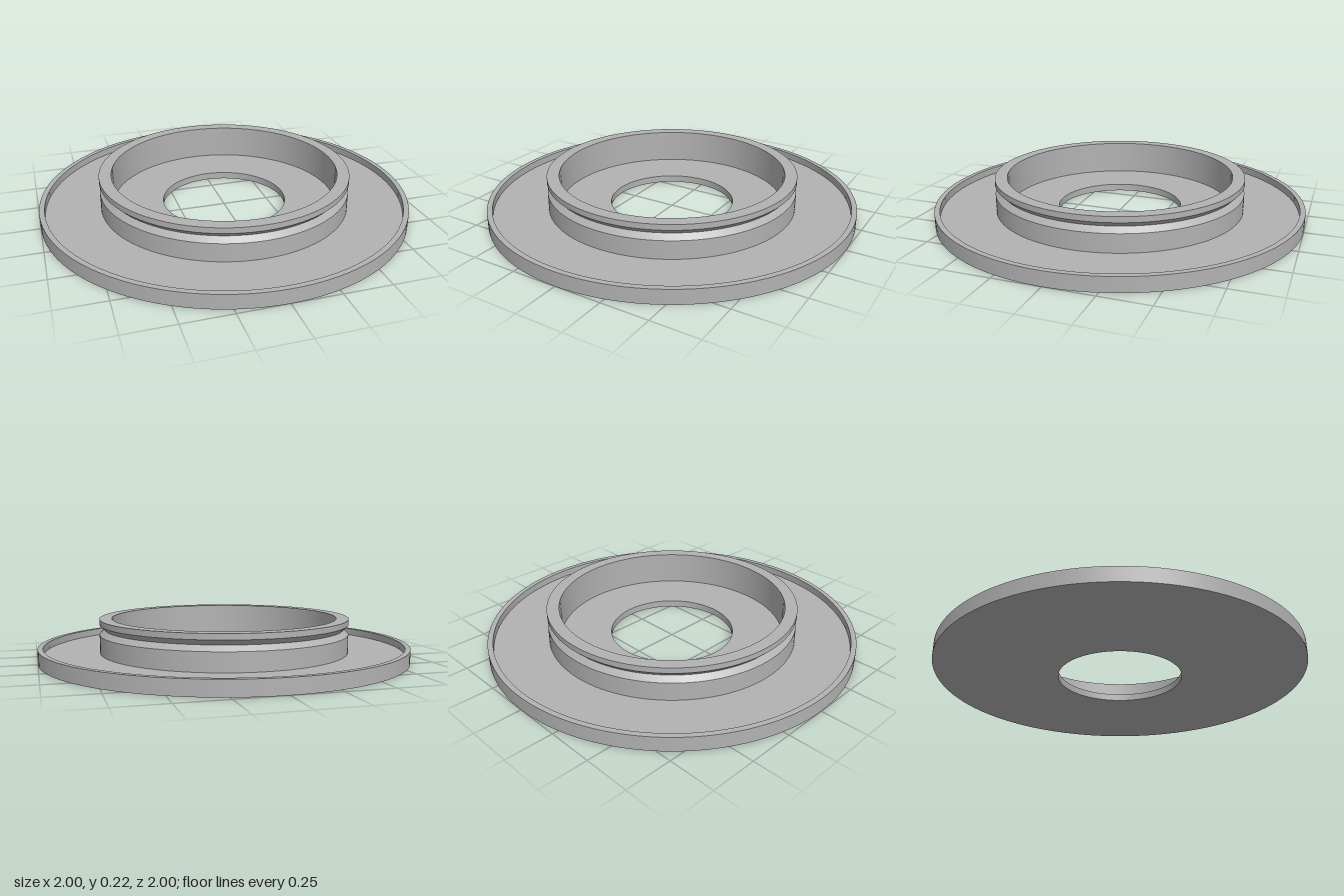
import * as THREE from 'three';
import { toCreasedNormals } from 'three/addons/utils/BufferGeometryUtils.js';

const SEGMENTS = 128;

// Revolve a [radius, height] profile, keeping its corners sharp
function ring(name, profile, material) {
  const points = profile.map(([r, y]) => new THREE.Vector2(r, y));
  const geometry = toCreasedNormals(new THREE.LatheGeometry(points, SEGMENTS), 0.4);
  const mesh = new THREE.Mesh(geometry, material);
  mesh.name = name;
  return mesh;
}

export function createModel() {
  const metal = new THREE.MeshStandardMaterial({ color: 0xb2b2b2 });
  metal.name = 'grey metal';

  const bore = 0.337, floor = 0.038;
  const group = new THREE.Group();
  group.name = 'flangedRing';

  // Flat disc with a centre hole and a thin raised rim
  group.add(ring('flange', [
    [bore, 0], [1, 0], [1, 0.077], [0.972, 0.077],
    [0.972, floor], [bore, floor], [bore, 0],
  ], metal));

  // Upright collar with a V-groove around the outside
  const outer = 0.678, inner = 0.612;
  group.add(ring('collar', [
    [outer, floor], [outer, 0.136], [outer - 0.027, 0.163], [outer, 0.19],
    [outer, 0.22], [inner, 0.22], [inner, floor],
  ], metal));

  return group;
}
